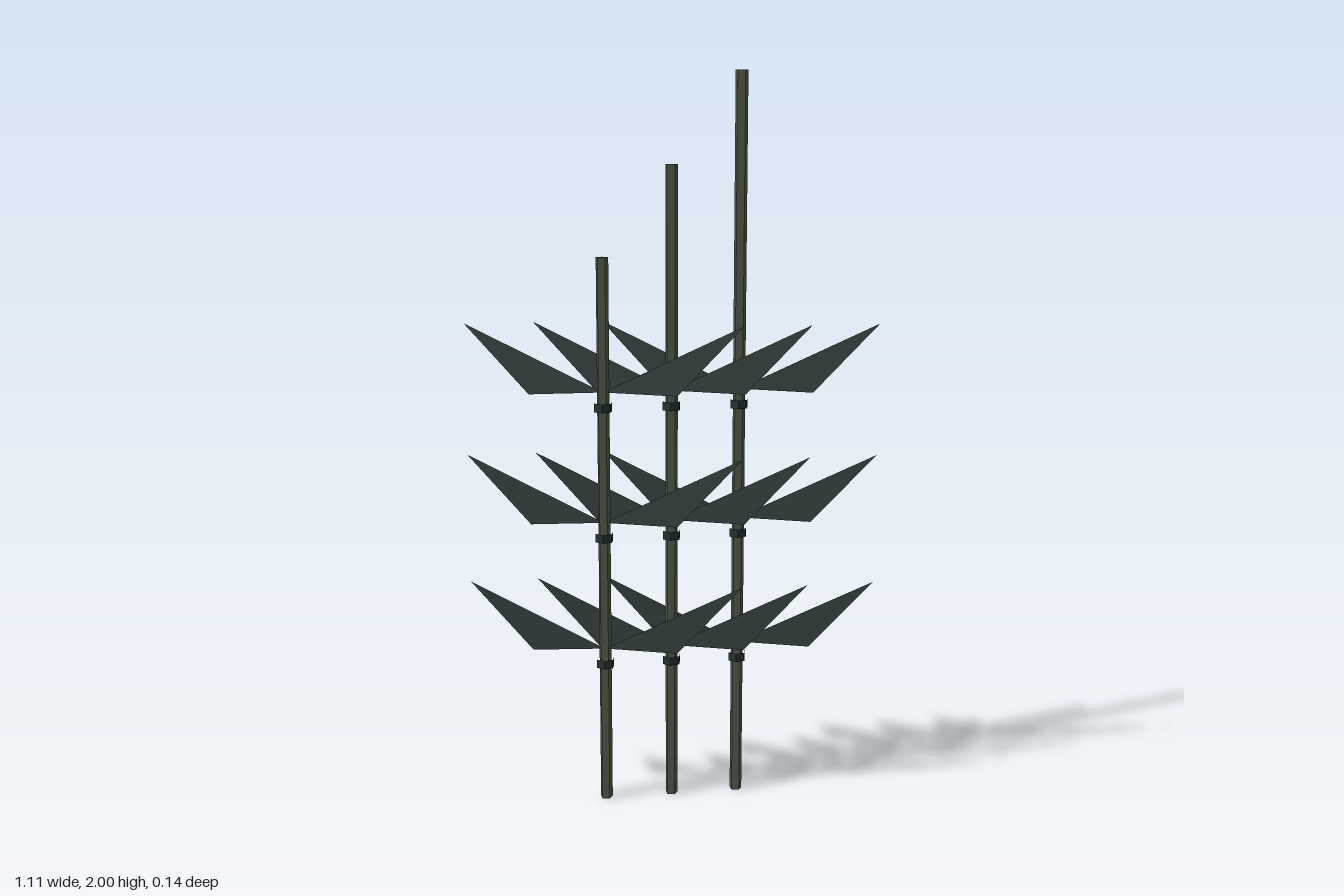
import * as THREE from 'three';

const stalkMat = new THREE.MeshStandardMaterial({ color: 0x4a5442, flatShading: true });
stalkMat.name = 'stalk green';
const ringMat = new THREE.MeshStandardMaterial({ color: 0x253030, flatShading: true });
ringMat.name = 'ring dark teal';
const leafMat = new THREE.MeshStandardMaterial({ color: 0x2f3a3a, flatShading: true, side: THREE.DoubleSide });
leafMat.name = 'leaf slate';

// Flat triangular blade pointing out to one side (side = 1 or -1), slightly tilted back at the tip
function bladeGeometry(side) {
  const root = [0, 0.04, 0];
  const elbow = [0.2 * side, 0.033, 0.006];
  const tip = [0.376 * side, 0.22, -0.014];
  const corners = side > 0 ? [root, elbow, tip] : [root, tip, elbow];
  const geo = new THREE.BufferGeometry();
  geo.setAttribute('position', new THREE.Float32BufferAttribute(corners.flat(), 3));
  geo.computeVertexNormals();
  return geo;
}

export function createModel() {
  const model = new THREE.Group();
  model.name = 'reeds';

  const ringGeo = new THREE.CylinderGeometry(0.026, 0.026, 0.024, 6, 1, true);
  const blades = { leftBlade: bladeGeometry(1), rightBlade: bladeGeometry(-1) };

  for (let i = -1; i <= 1; i++) {
    const reed = new THREE.Group();
    reed.name = 'reed' + (i + 2);
    reed.position.set(0.18 * i, 0, -0.045 * i);
    model.add(reed);

    // Five-sided stalk, taller towards the model's left
    const height = 1.76 + 0.24 * i;
    const stalk = new THREE.Mesh(
      new THREE.CylinderGeometry(0.0175, 0.0175, height, 5, 1, false, Math.PI), stalkMat);
    stalk.name = 'stalk';
    stalk.position.y = height / 2;
    reed.add(stalk);

    // Three joints, each a ring with a pair of blades above it
    for (let j = 0; j < 3; j++) {
      const joint = new THREE.Group();
      joint.name = 'joint' + (j + 1);
      joint.position.y = 0.4 + 0.36 * j;
      const ring = new THREE.Mesh(ringGeo, ringMat);
      ring.name = 'ring';
      joint.add(ring);
      for (const [name, geo] of Object.entries(blades)) {
        const blade = new THREE.Mesh(geo, leafMat);
        blade.name = name;
        joint.add(blade);
      }
      reed.add(joint);
    }
  }
  return model;
}
